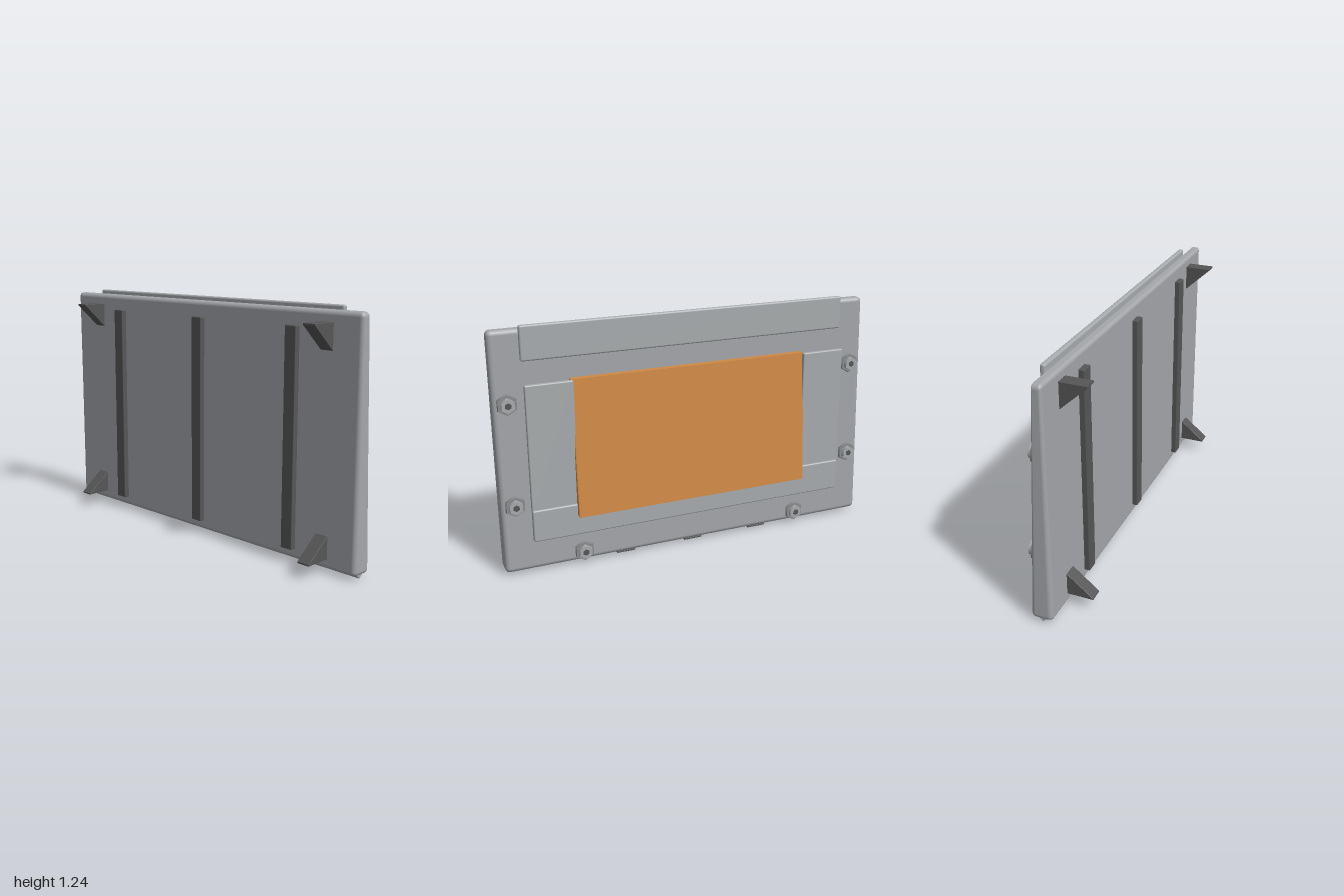
import * as THREE from 'three';
import { RoundedBoxGeometry } from 'three/addons/geometries/RoundedBoxGeometry.js';

const mat = (name, color) => {
  const m = new THREE.MeshStandardMaterial({ color });
  m.name = name;
  return m;
};

export function createModel() {
  const root = new THREE.Group();
  root.name = 'wallPanel';
  const bodyGrey = mat('bodyGrey', 0xa5a7ab);
  const plateGrey = mat('plateGrey', 0xa8acae);
  const orange = mat('orange', 0xd08a45);
  const darkGrey = mat('darkGrey', 0x565656);
  const boltGrey = mat('boltGrey', 0x8a8c8e);

  const add = (name, geo, material, parent = root) => {
    const mesh = new THREE.Mesh(geo, material);
    mesh.name = name;
    parent.add(mesh);
    return mesh;
  };
  // Rounded box given by its minimum and maximum corners
  const block = (name, a, b, r, material) => {
    const geo = new RoundedBoxGeometry(b[0] - a[0], b[1] - a[1], b[2] - a[2], 3, r);
    geo.translate((a[0] + b[0]) / 2, (a[1] + b[1]) / 2, (a[2] + b[2]) / 2);
    return add(name, geo, material);
  };
  // Side profile (x, y) extruded along z, with slightly broken edges
  const prism = (name, points, z, width, bevel, material) => {
    const shape = new THREE.Shape(points.map(([x, y]) => new THREE.Vector2(x, y)));
    const geo = new THREE.ExtrudeGeometry(shape, {
      depth: width - 2 * bevel, bevelEnabled: bevel > 0, bevelSize: bevel,
      bevelThickness: bevel, bevelOffset: -bevel, bevelSegments: 2,
    });
    geo.translate(0, 0, z - width / 2 + bevel);
    return add(name, geo, material);
  };

  // Body: rounded slab whose face leans back towards the top
  const faceX = (y) => 0.102 - 0.0555 * y;
  const body = block('body', [-0.01, 0.018, -1], [0.1, 1.22, 1], 0.024, bodyGrey);
  const pos = body.geometry.attributes.position;
  for (let i = 0; i < pos.count; i++) {
    const t = (pos.getX(i) + 0.01) / 0.11;
    pos.setX(i, -0.01 + t * (faceX(pos.getY(i)) + 0.01));
  }

  // Ridge and dark slots on the underside
  prism('bottomRidge', [[0.02, 0.022], [0.045, 0], [0.07, 0.022]], 0, 1.97, 0, bodyGrey);
  for (const z of [-0.375, 0, 0.375])
    block('bottomSlot', [0.068, 0.012, z - 0.05], [0.092, 0.021, z + 0.05], 0.002, darkGrey);

  // Face plates
  block('topPlate', [0.04, 1.07, -0.855], [0.066, 1.24, 0.855], 0.009, plateGrey);
  block('lowerPlate', [0.088, 0.17, -0.855], [0.117, 0.336, 0.855], 0.008, plateGrey);
  for (const s of [-1, 1]) {
    const zs = [s * 0.62, s * 0.855].sort((a, b) => a - b);
    block('sidePlate', [0.084, 0.32, zs[0]], [0.108, 0.966, zs[1]], 0.007, plateGrey);
  }

  // Sloping centre panel
  prism('centrePanel', [[0.055, 0.966], [0.1, 0.27], [0.138, 0.27], [0.088, 0.966]],
    0, 1.26, 0.006, orange);

  // Bolts: hexagonal flange, smaller hexagonal head, socket
  const hex = (r1, r2, h, x) => new THREE.CylinderGeometry(r1, r2, h, 6)
    .toNonIndexed().rotateY(Math.PI / 6).rotateZ(-Math.PI / 2).translate(x, 0, 0);
  const flange = hex(0.051, 0.056, 0.018, 0.004);
  const head = hex(0.036, 0.037, 0.02, 0.021);
  const socket = hex(0.017, 0.017, 0.002, 0.0312);
  for (const s of [-1, 1])
    for (const [y, z] of [[0.87, 0.93], [0.365, 0.93], [0.07, 0.6]]) {
      const bolt = new THREE.Group();
      bolt.name = 'bolt';
      bolt.position.set(faceX(y), y, s * z);
      add('boltFlange', flange, boltGrey, bolt);
      add('boltHead', head, plateGrey, bolt);
      add('boltSocket', socket, darkGrey, bolt);
      root.add(bolt);
    }

  // Back ribs
  for (const z of [-0.615, 0, 0.615])
    block('backRib', [-0.038, 0.07, z - 0.033], [-0.004, 1.14, z + 0.033], 0.004, darkGrey);

  // Triangular mounting brackets at the back corners
  for (const z of [-0.805, 0.805]) {
    prism('upperBracket', [[-0.142, 1.167], [-0.142, 1.16], [-0.012, 1.04], [-0.005, 1.04], [-0.005, 1.167]],
      z, 0.068, 0.002, darkGrey);
    prism('lowerBracket', [[-0.142, 0.068], [-0.005, 0.068], [-0.005, 0.18], [-0.012, 0.18], [-0.142, 0.075]],
      z, 0.068, 0.002, darkGrey);
  }
  return root;
}
